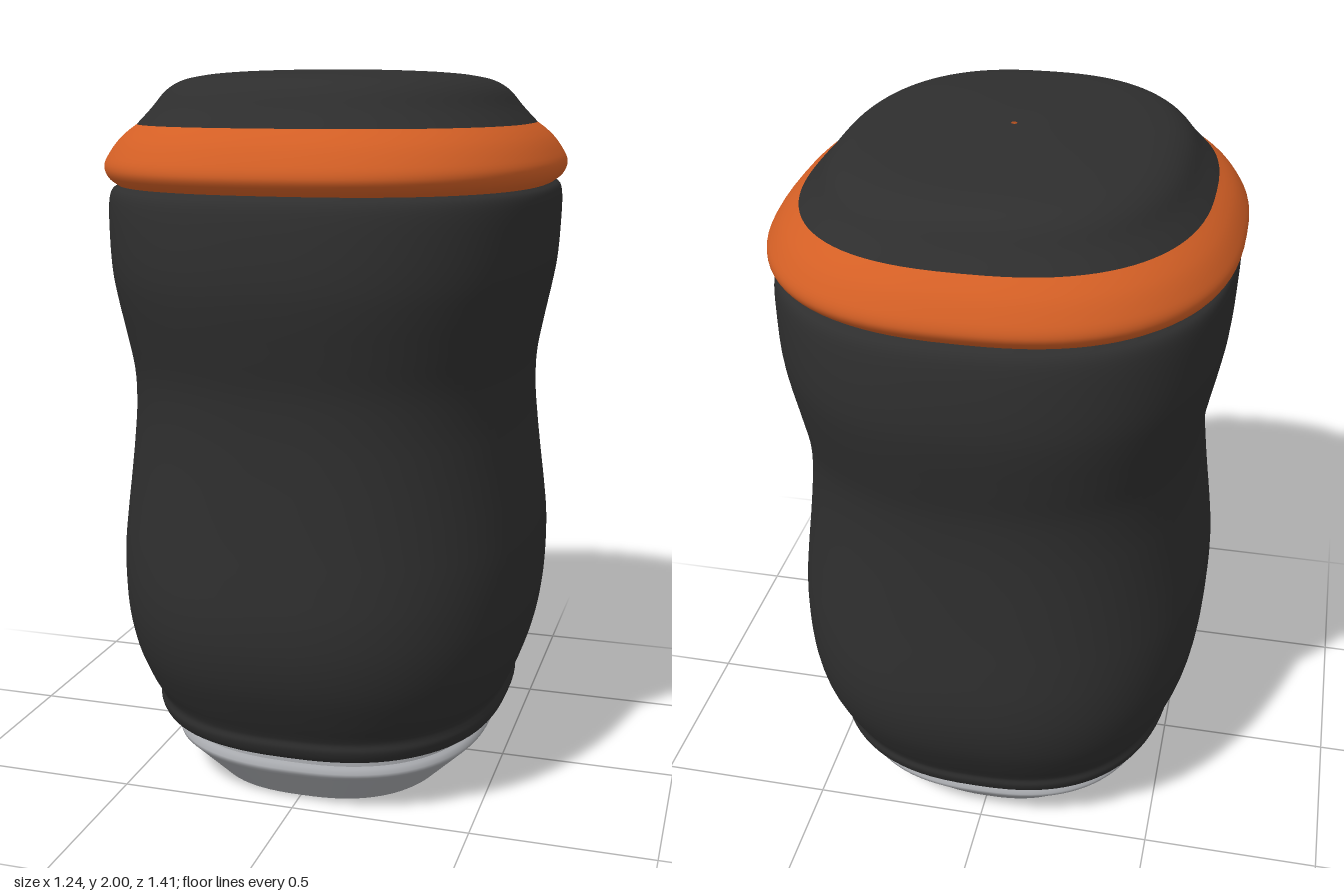
import * as THREE from 'three';

const SEGMENTS = 96;
const EXPONENT = 2.5; // squareness of the rounded cross-section

// Lofts superellipse rings through [y, halfWidth, halfDepth], listed from bottom to top
function loft(profile, steps = 0) {
  let rings = profile.map(([y, a, b]) => new THREE.Vector3(a, y, b));
  if (steps) rings = new THREE.CatmullRomCurve3(rings, false, 'centripetal').getPoints(steps);
  const positions = [], index = [];
  const power = (v) => Math.sign(v) * Math.abs(v) ** (2 / EXPONENT);
  rings.forEach((r, i) => {
    for (let j = 0; j < SEGMENTS; j++) {
      const t = (j / SEGMENTS) * Math.PI * 2;
      positions.push(r.x * power(Math.cos(t)), r.y, r.z * power(Math.sin(t)));
      if (i === rings.length - 1) continue;
      const k = (j + 1) % SEGMENTS, lo = i * SEGMENTS, hi = lo + SEGMENTS;
      index.push(lo + j, hi + j, lo + k, lo + k, hi + j, hi + k);
    }
  });
  const geometry = new THREE.BufferGeometry();
  geometry.setAttribute('position', new THREE.Float32BufferAttribute(positions, 3));
  geometry.setIndex(index);
  geometry.computeVertexNormals();
  return geometry;
}

function material(name, color) {
  const m = new THREE.MeshStandardMaterial({ color, side: THREE.DoubleSide });
  m.name = name;
  return m;
}

export function createModel() {
  const group = new THREE.Group();
  group.name = 'grip';
  const black = material('black rubber', 0x2e2e2e);
  const orange = material('orange', 0xd35f25);
  const grey = material('grey metal', 0xa6a8ac);

  const add = (name, mat, profile, steps) => {
    const mesh = new THREE.Mesh(loft(profile, steps), mat);
    mesh.name = name;
    group.add(mesh);
  };

  // Open base collar: sloped foot, rounded rim, upright neck
  add('collarFoot', grey, [[0, 0.35, 0.42], [0.1, 0.45, 0.507]]);
  add('collarRim', grey, [
    [0.1, 0.45, 0.507], [0.113, 0.462, 0.52], [0.125, 0.465, 0.523], [0.135, 0.455, 0.512], [0.14, 0.447, 0.503],
  ]);
  add('collarNeck', grey, [[0.14, 0.447, 0.503], [0.172, 0.445, 0.5]]);

  // Waisted body with a small bead at its lower edge
  add('bodyUnderside', black, [[0.172, 0.445, 0.5], [0.172, 0.48, 0.545]]);
  add('body', black, [
    [0.172, 0.48, 0.545], [0.185, 0.5, 0.563], [0.215, 0.512, 0.577], [0.235, 0.51, 0.576],
    [0.25, 0.508, 0.582], [0.3, 0.532, 0.61], [0.4, 0.565, 0.658], [0.5, 0.583, 0.683],
    [0.6, 0.59, 0.688], [0.7, 0.59, 0.68], [0.8, 0.58, 0.669], [0.9, 0.567, 0.66],
    [1.0, 0.555, 0.653], [1.1, 0.546, 0.65], [1.2, 0.548, 0.655], [1.3, 0.565, 0.675],
    [1.4, 0.585, 0.695], [1.47, 0.597, 0.703], [1.56, 0.604, 0.7], [1.66, 0.606, 0.685],
    [1.685, 0.6, 0.672], [1.697, 0.585, 0.652],
  ], 90);

  // Bulging coloured band
  add('band', orange, [
    [1.697, 0.585, 0.652], [1.715, 0.607, 0.675], [1.735, 0.617, 0.687], [1.755, 0.618, 0.685],
    [1.785, 0.603, 0.67], [1.815, 0.581, 0.65], [1.838, 0.557, 0.628], [1.857, 0.532, 0.606],
  ], 24);

  // Domed lid with a pinhole at its centre
  add('lid', black, [
    [1.857, 0.532, 0.606], [1.9, 0.491, 0.573], [1.945, 0.452, 0.542], [1.97, 0.41, 0.51],
    [1.985, 0.345, 0.455], [1.993, 0.27, 0.37], [1.998, 0.17, 0.24], [2, 0.08, 0.1], [2, 0.008, 0.008],
  ], 40);

  return group;
}
